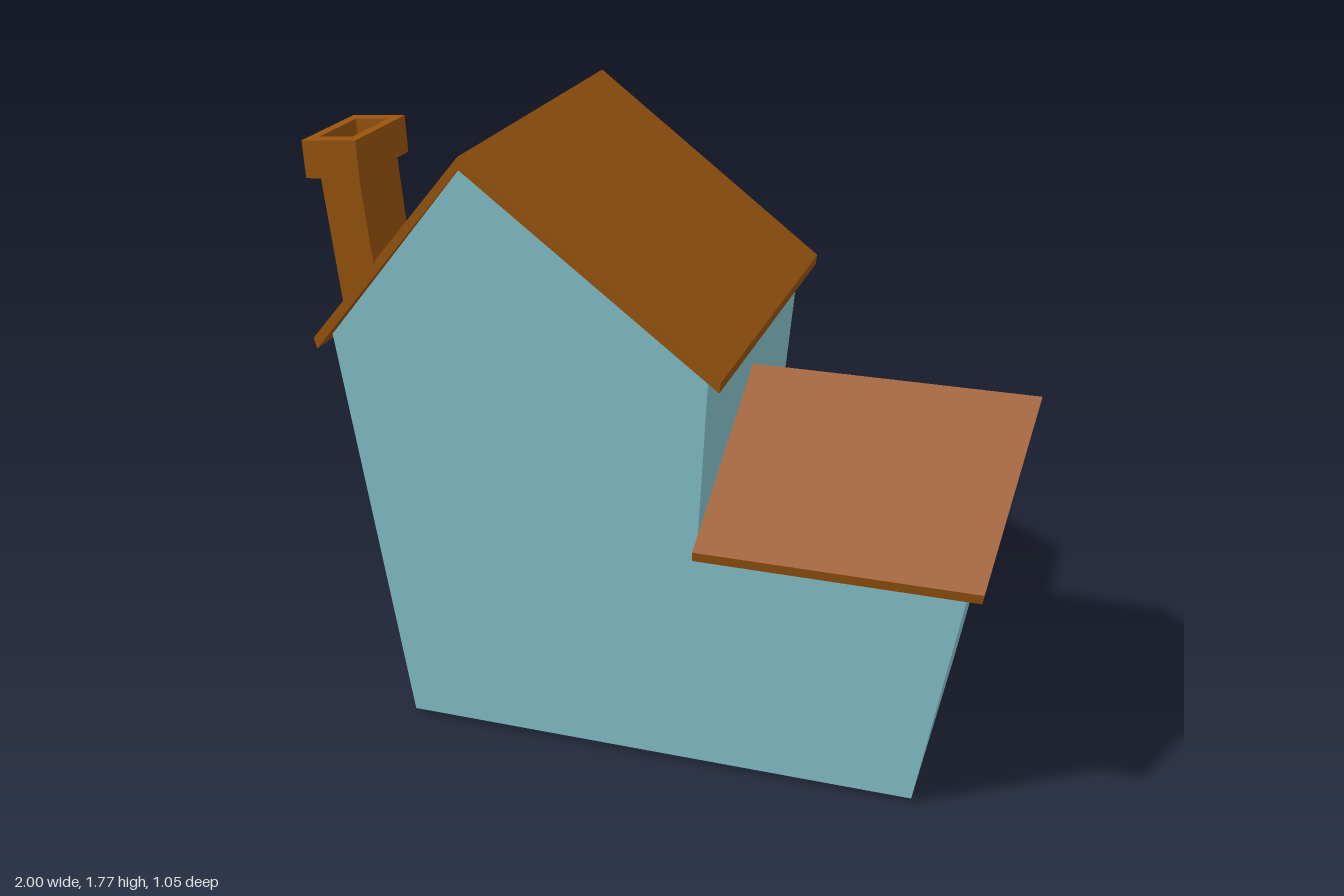
import * as THREE from 'three';

const BASE = 0.015;
// half depth of the flared front and back walls at height y
const half = (y) => 0.384 + 0.0795 * (y - BASE);
// sloping wall between the tall house and the low wing
const joinX = (y) => 0.112 + 0.08 * (y - BASE);
const lerp = THREE.MathUtils.lerp;

// extrude a polygon by one unit, then place every vertex with rule(u, v, t) -> [x, y, z]
function mapped(points, rule, hole) {
  const shape = new THREE.Shape(points.map(([u, v]) => new THREE.Vector2(u, v)));
  if (hole) shape.holes.push(new THREE.Path(hole.map(([u, v]) => new THREE.Vector2(u, v))));
  const geo = new THREE.ExtrudeGeometry(shape, { depth: 1, bevelEnabled: false });
  const p = geo.attributes.position;
  for (let i = 0; i < p.count; i++) p.setXYZ(i, ...rule(p.getX(i), p.getY(i), p.getZ(i)));
  geo.computeVertexNormals();
  return geo;
}

const rect = (w, h) => [[-w / 2, -h / 2], [w / 2, -h / 2], [w / 2, h / 2], [-w / 2, h / 2]];

export function createModel() {
  const group = new THREE.Group();
  const material = (name, color) => {
    const m = new THREE.MeshStandardMaterial({ color });
    m.name = name;
    return m;
  };
  const wall = material('wallBlue', 0x8ac8d2);
  const brown = material('roofBrown', 0x99540e);
  const grey = material('panelGrey', 0xb4aead);
  const glass = material('windowDark', 0x434e5c);

  const add = (name, geo, mat, parent = group) => {
    const mesh = new THREE.Mesh(geo, mat);
    mesh.name = name;
    parent.add(mesh);
    return mesh;
  };

  // tall house with a lopsided gable, flaring upward
  add('mainHouse', mapped(
    [[-0.73, BASE], [joinX(BASE), BASE], [joinX(1.255), 1.255], [-0.425, 1.745], [-0.842, 1.255]],
    (x, y, t) => [x, y, (2 * t - 1) * half(y)]), wall);

  // low side wing, its end wall leaning outward
  add('sideWing', mapped(
    [[-half(BASE), BASE], [half(BASE), BASE], [half(0.75), 0.75], [0, 1.073], [-half(0.75), 0.75]],
    (u, y, t) => [lerp(joinX(y), 0.775 + 0.17 * (y - BASE), t), y, -u]), wall);

  // thin folded roofs
  add('mainRoof', mapped(
    [[-0.865, 1.217], [-0.425, 1.742], [0.252, 1.227], [0.256, 1.256], [-0.425, 1.775], [-0.873, 1.247]],
    (x, y, t) => [x, y, (2 * t - 1) * 0.527]), brown);
  add('wingRoof', mapped(
    [[-0.483, 0.717], [0, 1.069], [0.483, 0.717], [0.488, 0.745], [0, 1.098], [-0.488, 0.745]],
    (u, y, t) => [lerp(joinX(y), 0.935 + 0.172 * (y - 0.72), t), y, -u]), brown);

  // leaning chimney with an open cap
  const chimney = new THREE.Group();
  chimney.name = 'chimney';
  group.add(chimney);
  add('chimneyShaft', mapped(rect(1, 1), (a, b, t) => [
    lerp(-0.787, -0.919, t) + a * 0.117, 1.64 * t + 0.008 * a * t,
    lerp(0.1, 0.12, t) - b * lerp(0.18, 0.235, t)]), brown, chimney);
  add('chimneyCap', mapped(rect(0.162, 0.3),
    (a, b, t) => [-0.919 + a - 0.004 * t, 1.61 + 0.105 * t + 0.07 * a, 0.12 - b],
    rect(0.1, 0.21)), brown, chimney);

  // thin plate lying on the sloping back wall
  const plate = (name, points, mat, lift, hole) => add(name, mapped(points,
    (x, y, t) => [x, y, -half(y) - lift * (1 - t)], hole), mat);

  // crooked door, wing door and upper windows
  plate('door', [[-0.445, 0.02], [-0.18, 0.02], [-0.087, 0.535], [-0.53, 0.655]], grey, 0.004);
  plate('wingDoor', [[0.217, 0.02], [0.687, 0.02], [0.725, 0.475], [0.188, 0.52]], grey, 0.004);
  plate('windowPanelLeft', [[-0.21, 0.785], [-0.03, 0.715], [0.012, 1.1], [-0.213, 1.185]], grey, 0.004);
  plate('windowPanelRight', [[-0.645, 0.77], [-0.49, 0.76], [-0.455, 1.165], [-0.69, 1.12]], grey, 0.004);

  // row of rounded panes in the wing door
  [[0.645, 0.355], [0.522, 0.364], [0.405, 0.366], [0.287, 0.363]].forEach(([cx, cy], i) => {
    const pane = [];
    for (let k = 0; k < 16; k++) {
      const a = (k / 16) * Math.PI * 2, c = Math.cos(a), s = Math.sin(a);
      pane.push([cx + 0.043 * Math.sign(c) * Math.abs(c) ** 0.6, cy + 0.047 * Math.sign(s) * Math.abs(s) ** 0.6]);
    }
    plate('wingDoorPane' + (i + 1), pane, glass, 0.007);
  });

  // dark irregular patch in each upper window, with a small gap in it
  const side = [[0.022, 0.0], [0.022, 0.05], [0.055, 0.01], [0.078, 0.04], [0.065, 0.085], [0.08, 0.12],
    [0.055, 0.165], [0.03, 0.18], [0.045, 0.215], [0.035, 0.255], [0.015, 0.275]];
  const outline = [...side, ...side.map(([u, v]) => [-u, v]).reverse()];
  const gap = [[-0.02, 0.115], [0.022, 0.12], [0.015, 0.145], [-0.018, 0.14]];
  [['Left', -0.1, 0.77], ['Right', -0.555, 0.78]].forEach(([name, cx, cy]) => {
    const move = (pts) => pts.map(([u, v]) => [cx + u, cy + v]);
    plate('windowGlass' + name, move(outline), glass, 0.007, move(gap));
  });

  // door knob
  const knob = add('doorKnob', new THREE.SphereGeometry(0.022, 10, 8), brown);
  knob.position.set(-0.37, 0.245, -half(0.245) - 0.008);

  return group;
}
